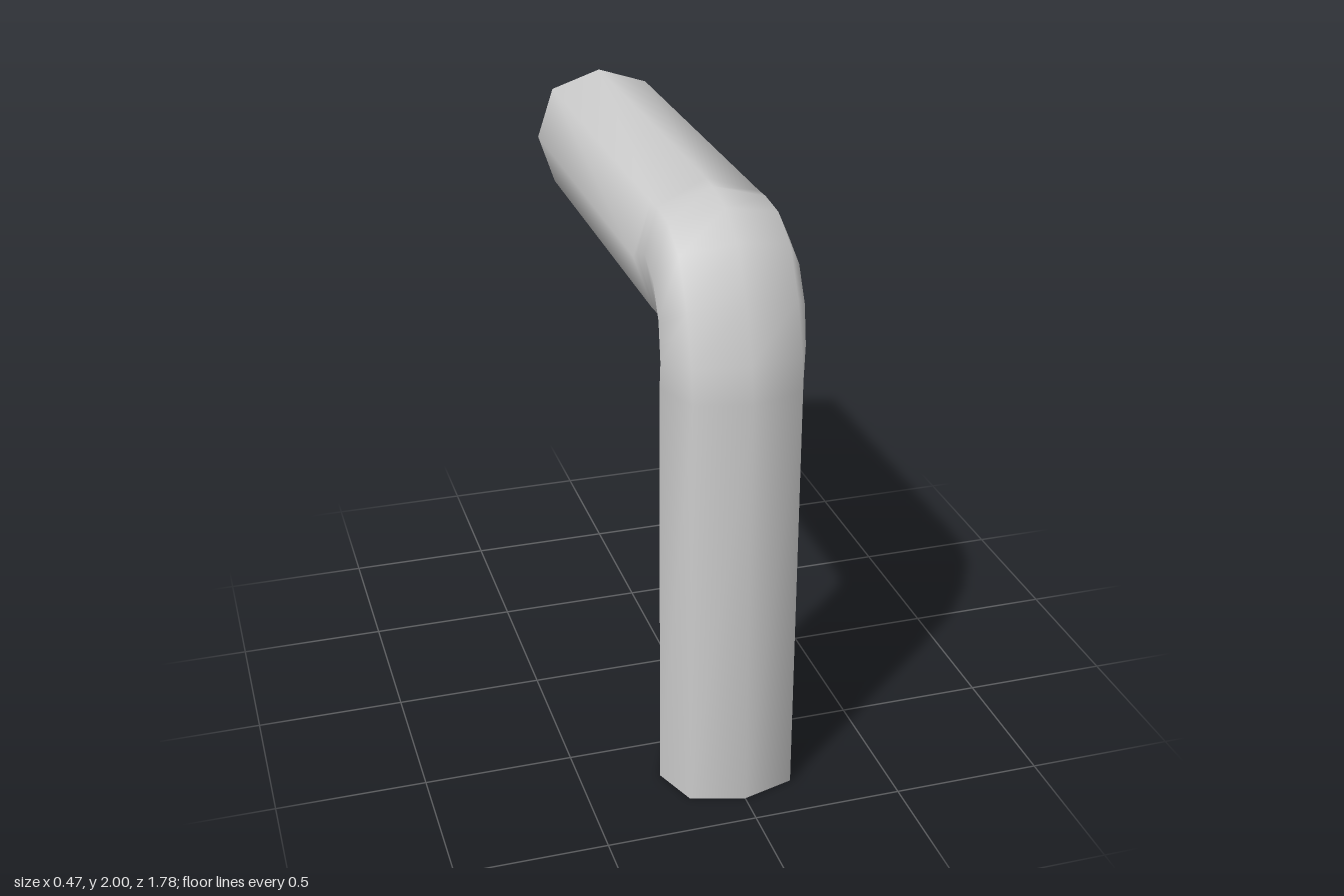
import * as THREE from 'three';

// Bent open pipe: eight-sided sections swept from the foot, round the elbow, to the back.
// Each section: outer, side and inner points as [z, y].
const SECTIONS = [
  [[0.89, 0], [0.685, 0], [0.484, 0]],
  [[0.89, 1.44], [0.69, 1.44], [0.484, 1.44]],
  [[0.87, 1.56], [0.70, 1.53], [0.48, 1.47]],
  [[0.81, 1.74], [0.68, 1.66], [0.473, 1.495]],
  [[0.72, 1.90], [0.62, 1.77], [0.463, 1.51]],
  [[0.60, 1.97], [0.53, 1.82], [0.445, 1.517]],
  [[0.47, 1.995], [0.45, 1.79], [0.425, 1.524]],
  [[0.40, 2.0], [0.40, 1.765], [0.40, 1.53]],
  [[-0.89, 2.0], [-0.89, 1.765], [-0.89, 1.53]],
];
const HALF_WIDTH = 0.235;
// Octagon corners: across the width, and toward the outer (+) or inner (-) point
const CORNERS = [[0, 1], [0.75, 0.75], [1, 0], [0.75, -0.75], [0, -1], [-0.75, -0.75], [-1, 0], [-0.75, 0.75]];

function pipeGeometry() {
  const positions = [], index = [], n = CORNERS.length;
  SECTIONS.forEach(([outer, side, inner], i) => {
    CORNERS.forEach(([across, reach], k) => {
      const end = reach >= 0 ? outer : inner, t = Math.abs(reach);
      const z = side[0] + (end[0] - side[0]) * t;
      const y = side[1] + (end[1] - side[1]) * t;
      positions.push(across * HALF_WIDTH, y, z);
      if (i < SECTIONS.length - 1) {
        const a = i * n + k, b = i * n + (k + 1) % n;
        index.push(a, b, b + n, a, b + n, a + n);
      }
    });
  });
  const geometry = new THREE.BufferGeometry();
  geometry.setAttribute('position', new THREE.Float32BufferAttribute(positions, 3));
  geometry.setIndex(index);
  geometry.computeVertexNormals();
  return geometry;
}

export function createModel() {
  const group = new THREE.Group();
  const material = new THREE.MeshStandardMaterial({ color: 0xcccccc, side: THREE.DoubleSide });
  const pipe = new THREE.Mesh(pipeGeometry(), material);
  pipe.name = 'elbowPipe';
  group.add(pipe);
  return group;
}
